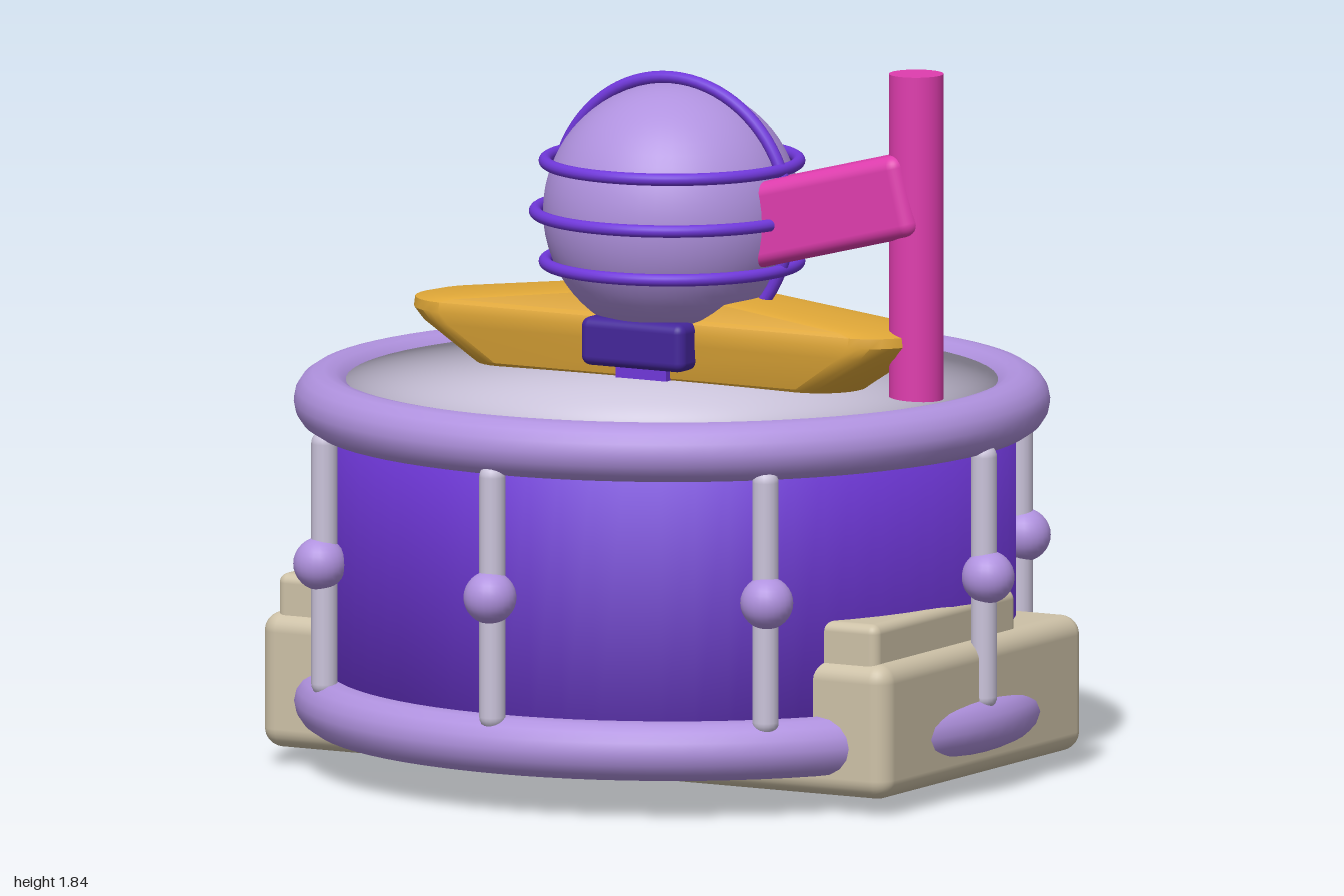
import * as THREE from 'three';
import { mergeVertices, toCreasedNormals } from 'three/addons/utils/BufferGeometryUtils.js';
import { RoundedBoxGeometry } from 'three/addons/geometries/RoundedBoxGeometry.js';

const paint = (name, color) => {
  const m = new THREE.MeshStandardMaterial({ color });
  m.name = name;
  return m;
};

// Closed loft of stadium-shaped rings; each layer is [y, half length, half width]
function stadiumLoft(layers, n = 32) {
  const pos = [], idx = [];
  for (const [y, len, w] of layers) {
    for (let i = 0; i < n; i++) {
      const a = ((i + 0.5) / n) * Math.PI * 2;
      const c = Math.cos(a);
      pos.push(Math.sign(c) * (len - w) + c * w, y, Math.sin(a) * w);
    }
  }
  for (let k = 0; k < layers.length - 1; k++) {
    for (let i = 0; i < n; i++) {
      const j = (i + 1) % n, a = k * n + i, b = k * n + j;
      idx.push(a, a + n, b, b, a + n, b + n);
    }
  }
  const top = (layers.length - 1) * n;
  for (let i = 1; i < n - 1; i++) {
    idx.push(0, i, i + 1);
    idx.push(top, top + i + 1, top + i);
  }
  const g = new THREE.BufferGeometry();
  g.setAttribute('position', new THREE.Float32BufferAttribute(pos, 3));
  g.setIndex(idx);
  return toCreasedNormals(g, 0.6);
}

// Cylinder whose normals blend over the rims
function softCylinder(r, h) {
  const g = new THREE.CylinderGeometry(r, r, h, 64);
  g.deleteAttribute('normal');
  g.deleteAttribute('uv');
  const m = mergeVertices(g);
  m.computeVertexNormals();
  return m;
}

export function createModel() {
  const model = new THREE.Group();
  const mauve = paint('mauve', 0xb092df);
  const violet = paint('violet', 0x7038da);
  const indigo = paint('indigo', 0x44269a);
  const silver = paint('silver', 0xcac3da);
  const cream = paint('cream', 0xcdc1a7);
  const gold = paint('gold', 0xdea637);
  const pink = paint('pink', 0xdf3dae);

  const add = (name, geo, mat, x = 0, y = 0, z = 0) => {
    const m = new THREE.Mesh(geo, mat);
    m.name = name;
    m.position.set(x, y, z);
    model.add(m);
    return m;
  };
  const ring = (name, R, r, y, mat) => {
    const m = add(name, new THREE.TorusGeometry(R, r, 16, 80), mat, 0, y, 0);
    m.rotation.x = Math.PI / 2;
    return m;
  };

  // Drum shell and hoops
  add('drumShell', softCylinder(0.88, 0.86), violet, 0, 0.55, 0);
  ring('upperHoop', 0.89, 0.077, 0.953, mauve);
  ring('lowerHoop', 0.89, 0.077, 0.18, mauve);

  // Drum head: nearly flat dome that keeps its round shading
  const head = new THREE.SphereGeometry(0.85, 64, 24, 0, Math.PI * 2, 0, Math.PI / 2);
  const p = head.attributes.position;
  for (let i = 0; i < p.count; i++) p.setY(i, p.getY(i) * 0.03);
  add('drumHead', head, silver, 0, 1.0, 0);

  // Eight tension rods with lugs
  for (let i = 0; i < 8; i++) {
    const a = (i * Math.PI) / 4, c = Math.cos(a), s = Math.sin(a);
    add('tensionRod', new THREE.CapsuleGeometry(0.034, 0.62, 6, 16), silver, 0.92 * c, 0.565, 0.92 * s);
    add('lug', new THREE.SphereGeometry(0.068, 24, 16), mauve, 0.932 * c, 0.565, 0.932 * s);
  }

  // Base block running through the shell, with a shelf on top
  add('baseBlock', new RoundedBoxGeometry(1.85, 0.35, 1.03, 4, 0.05), cream, 0, 0.225, 0);
  add('baseShelf', new RoundedBoxGeometry(1.77, 0.14, 0.72, 4, 0.025), cream, 0, 0.43, 0.13);
  add('bottomDisc', new THREE.CylinderGeometry(0.28, 0.28, 0.008, 48), indigo, 0, 0.048, 0);
  const foot = add('bottomFoot', new THREE.SphereGeometry(1, 32, 20), pink, -0.5, 0.1, 0);
  foot.scale.set(0.23, 0.092, 0.15);

  // Boat-shaped cradle under the ball
  add('cradle', stadiumLoft([
    [1.0, 0.53, 0.11], [1.03, 0.57, 0.14], [1.12, 0.71, 0.15], [1.15, 0.738, 0.15],
    [1.175, 0.735, 0.145], [1.185, 0.69, 0.135], [1.235, 0.27, 0.12], [1.245, 0.17, 0.09],
  ]), gold);

  // Collar and neck
  add('collar', new RoundedBoxGeometry(0.305, 0.125, 0.43, 4, 0.025), indigo, 0, 1.12, 0);
  add('neck', new THREE.BoxGeometry(0.15, 0.12, 0.32), violet, 0, 1.03, 0);

  // Ball with cage rings
  add('ball', new THREE.SphereGeometry(0.33, 48, 32), mauve, 0, 1.44, 0);
  ring('cageRing', 0.325, 0.016, 1.57, violet);
  ring('cageRing', 0.35, 0.016, 1.44, violet);
  ring('cageRing', 0.325, 0.016, 1.31, violet);
  add('cageArch', new THREE.TorusGeometry(0.345, 0.016, 12, 80), violet, 0, 1.44, 0);

  // Post and slanted arm
  add('post', new THREE.CylinderGeometry(0.07, 0.07, 0.85, 32), pink, 0.72, 1.425, 0);
  const arm = add('arm', new RoundedBoxGeometry(0.6, 0.215, 0.18, 4, 0.035), pink, 0.445, 1.472, 0);
  arm.rotation.z = 0.25;

  return model;
}
